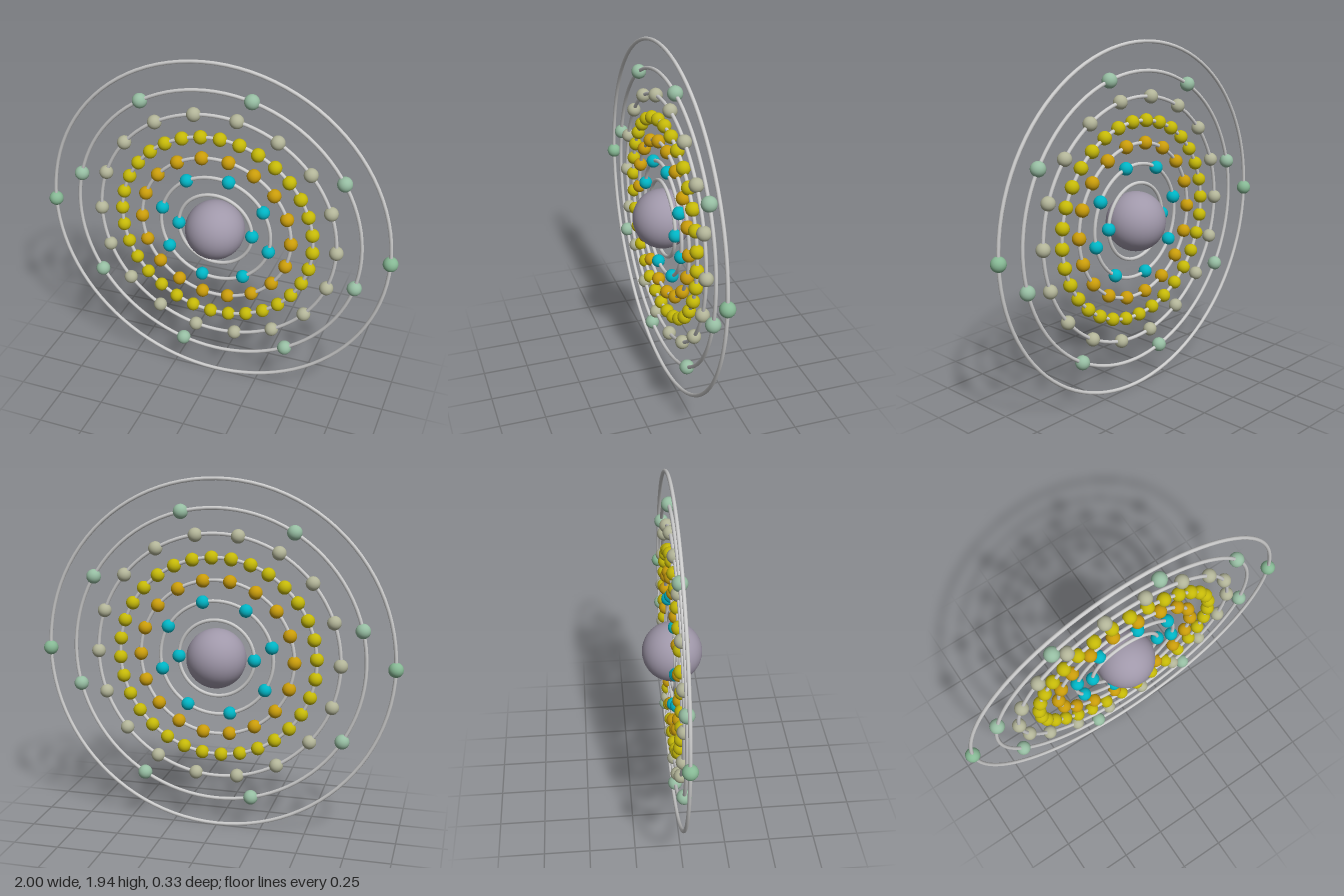
import * as THREE from 'three';

const CENTER_Y = 0.97;

// One entry per shell: ring radius, ball count, starting angle (degrees), ball radius, ball colour
const SHELLS = [
  [0.21, 2, 0, 0.036, 0x00b4c4],
  [0.314, 8, 31, 0.036, 0x00b4c4],
  [0.427, 18, 0, 0.037, 0xc99c0a],
  [0.547, 32, -2.81, 0.037, 0xc4b808],
  [0.674, 18, 0, 0.038, 0xb2b498],
  [0.808, 8, 31, 0.04, 0x96bda2],
  [0.96, 2, 0, 0.04, 0x86b894],
];

export function createModel() {
  const model = new THREE.Group();
  model.name = 'atomModel';
  const ringMaterial = new THREE.MeshStandardMaterial({ color: 0xcccccc });

  // Central nucleus
  const nucleus = new THREE.Mesh(
    new THREE.SphereGeometry(0.163, 32, 24),
    new THREE.MeshStandardMaterial({ color: 0xa098aa })
  );
  nucleus.name = 'nucleus';
  nucleus.position.y = CENTER_Y;
  model.add(nucleus);

  // Flat concentric shells, each a thin ring strung with evenly spaced balls
  SHELLS.forEach(([radius, count, start, ballRadius, color], i) => {
    const shell = new THREE.Group();
    shell.name = `shell${i + 1}`;
    shell.position.y = CENTER_Y;

    const ring = new THREE.Mesh(new THREE.TorusGeometry(radius, 0.01, 10, 96), ringMaterial);
    ring.name = 'orbitRing';
    shell.add(ring);

    const ballGeometry = new THREE.SphereGeometry(ballRadius, 24, 16);
    const ballMaterial = new THREE.MeshStandardMaterial({ color });
    for (let k = 0; k < count; k++) {
      const angle = THREE.MathUtils.degToRad(start + (360 * k) / count);
      const ball = new THREE.Mesh(ballGeometry, ballMaterial);
      ball.name = 'electron';
      ball.position.set(radius * Math.cos(angle), radius * Math.sin(angle), 0);
      shell.add(ball);
    }
    model.add(shell);
  });

  return model;
}
